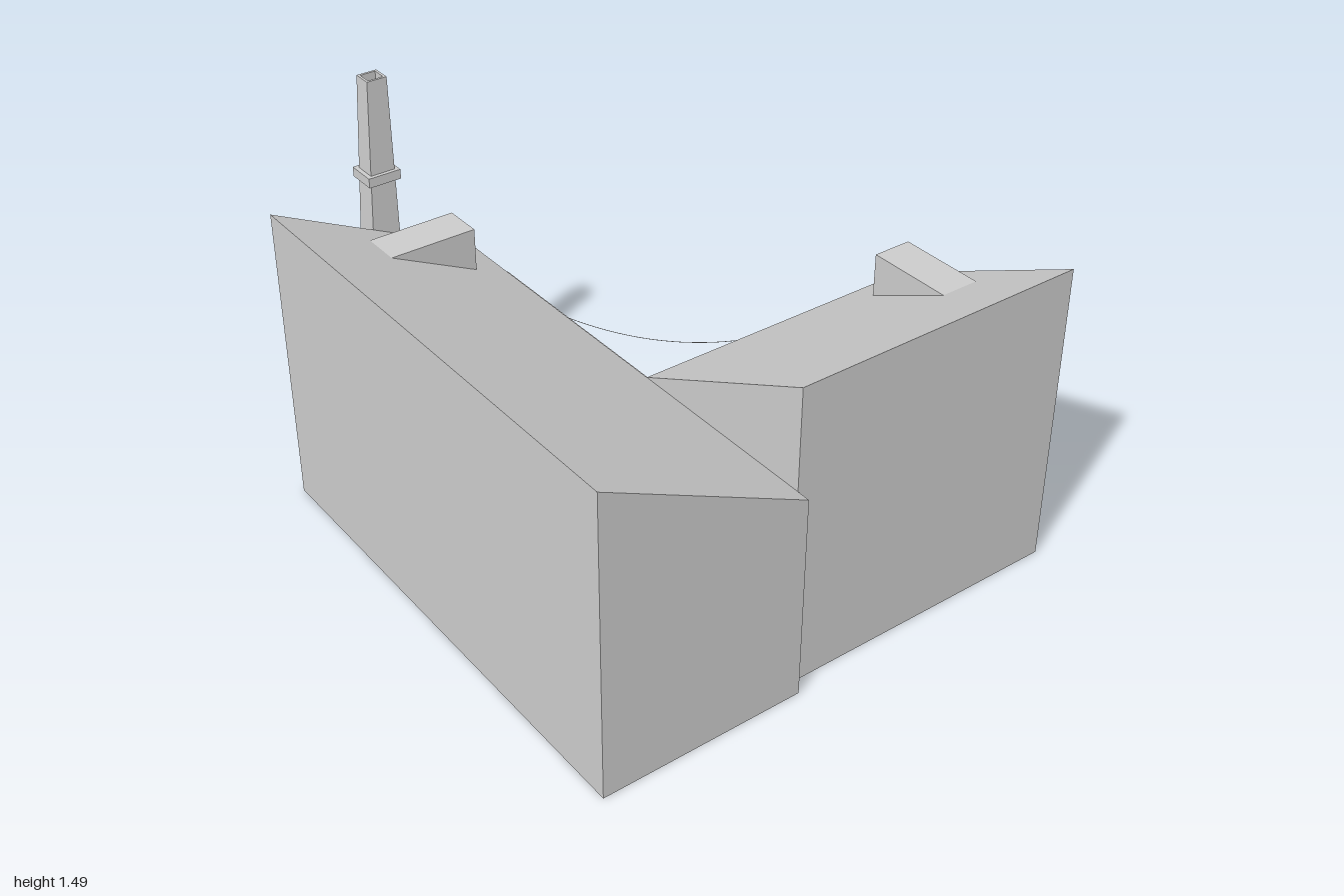
import * as THREE from 'three';

const material = new THREE.MeshStandardMaterial({ color: 0xcccccc, flatShading: true, side: THREE.DoubleSide });
const EAVE = 0.76, RIDGE = 1.13, ROOF = 0.008;

function add(parent, name, geometry) {
  const mesh = new THREE.Mesh(geometry, material);
  mesh.name = name;
  parent.add(mesh);
  return mesh;
}

// Box given by its minimum and maximum corners
function box(parent, name, x0, x1, y0, y1, z0, z1) {
  const mesh = add(parent, name, new THREE.BoxGeometry(x1 - x0, y1 - y0, z1 - z0));
  mesh.position.set((x0 + x1) / 2, (y0 + y1) / 2, (z0 + z1) / 2);
  return mesh;
}

function prism(points, depth) {
  const shape = new THREE.Shape(points.map(([x, y]) => new THREE.Vector2(x, y)));
  return new THREE.ExtrudeGeometry(shape, { depth, bevelEnabled: false });
}

// Remove the ground face so that the shell is open below
function openBottom(geometry) {
  const p = geometry.getAttribute('position'), kept = [];
  for (let i = 0; i < p.count; i += 3) {
    if (Math.max(p.getY(i), p.getY(i + 1), p.getY(i + 2)) < 1e-5) continue;
    for (let j = i; j < i + 3; j++) kept.push(p.getX(j), p.getY(j), p.getZ(j));
  }
  const out = new THREE.BufferGeometry();
  out.setAttribute('position', new THREE.Float32BufferAttribute(kept, 3));
  out.computeVertexNormals();
  return out;
}

// Lean-to wing: profile from eave a to ridge b, swept along its length, with a dormer
function wing(name, a, b, length, dormerStart) {
  const group = new THREE.Group();
  group.name = name;
  const dir = Math.sign(b - a);
  add(group, 'walls', openBottom(prism([[a, 0], [a, EAVE - ROOF], [b, RIDGE - ROOF], [b, 0]], length)));
  add(group, 'roof', prism([[a, EAVE - ROOF], [a, EAVE], [b, RIDGE], [b, RIDGE - ROOF]], length));
  const front = a + dir * 0.135, slope = (RIDGE - EAVE) / Math.abs(b - a);
  const back = a + dir * (0.985 - EAVE) / slope;
  const dormer = prism([[front, EAVE + 0.135 * slope], [front, 0.985], [back, 0.985]], 0.145);
  add(group, 'dormer', dormer).position.z = dormerStart;
  return group;
}

// Framed window with glazing bars, on a wall whose outside is +z
function windowUnit(parent, u, y, wide, high, w = 0) {
  const g = new THREE.Group();
  g.name = 'window';
  g.position.set(u, y, w);
  const t = 0.009, h = wide / 2;
  box(g, 'pane', -h, h, 0, high, 0, 0.002);
  for (const s of [-1, 1]) box(g, 'frameSide', s * (h - t / 2) - t / 2, s * (h - t / 2) + t / 2, 0, high, 0, 0.009);
  box(g, 'sill', -h, h, 0, t, 0, 0.009);
  box(g, 'lintel', -h, h, high - t, high, 0, 0.009);
  box(g, 'mullion', -0.003, 0.003, t, high - t, 0, 0.006);
  for (const k of [1, 2]) box(g, 'glazingBar', -h + t, h - t, high * k / 3 - 0.002, high * k / 3 + 0.002, 0, 0.005);
  parent.add(g);
}

function door(parent, u) {
  const g = new THREE.Group();
  g.name = 'door';
  g.position.x = u;
  box(g, 'leaf', -0.037, 0.037, 0, 0.192, 0, 0.004);
  for (const s of [-1, 1]) box(g, 'doorPost', s * 0.041 - 0.004, s * 0.041 + 0.004, 0, 0.2, 0, 0.008);
  box(g, 'doorHead', -0.045, 0.045, 0.192, 0.2, 0, 0.008);
  add(g, 'knob', new THREE.SphereGeometry(0.005, 8, 6)).position.set(0.029, 0.085, 0.007);
  parent.add(g);
}

// Rail with evenly spaced balusters between two points on a deck
function railing(parent, x0, z0, x1, z1, deckTop, railTop, bays) {
  const r = 0.003;
  for (let i = 0; i <= bays; i++) {
    const x = x0 + (x1 - x0) * i / bays, z = z0 + (z1 - z0) * i / bays;
    box(parent, 'baluster', x - r, x + r, deckTop, railTop - 0.008, z - r, z + r);
  }
  box(parent, 'handrail', Math.min(x0, x1) - 0.004, Math.max(x0, x1) + 0.004, railTop - 0.009, railTop,
    Math.min(z0, z1) - 0.004, Math.max(z0, z1) + 0.004);
}

// Hollow tapering stack built from rectangular rings [y, x0, x1, z0, z1]
function loftRings(rings) {
  const pos = [], idx = [];
  for (const [y, x0, x1, z0, z1] of rings) pos.push(x0, y, z1, x1, y, z1, x1, y, z0, x0, y, z0);
  for (let i = 0; i + 1 < rings.length; i++) {
    for (let j = 0; j < 4; j++) {
      const a = i * 4 + j, b = i * 4 + (j + 1) % 4;
      idx.push(a, b, b + 4, a, b + 4, a + 4);
    }
  }
  const g = new THREE.BufferGeometry();
  g.setAttribute('position', new THREE.Float32BufferAttribute(pos, 3));
  g.setIndex(idx);
  const flat = g.toNonIndexed();
  flat.computeVertexNormals();
  return flat;
}

function chimney() {
  const g = new THREE.Group();
  g.name = 'chimney';
  const low = [0.1, -0.6, -0.455, -0.978, -0.858], top = [1.49, -0.532, -0.458, -0.937, -0.868];
  const inset = ([y, x0, x1, z0, z1], t) => [y, x0 + t, x1 - t, z0 + t, z1 - t];
  const base = [0, -0.62, -0.443, -1, -0.857];
  const baseTop = [0.1, ...base.slice(1)];
  add(g, 'stack', loftRings([inset(base, 0.03), base, baseTop, low, top, inset(top, 0.009), inset(low, 0.012), inset(base, 0.03)]));
  // Projecting bands follow the taper
  for (const [y0, y1] of [[0.375, 0.405], [0.745, 0.775], [1.113, 1.148]]) {
    const k = (y0 - 0.1) / 1.39;
    const [, x0, x1, z0, z1] = low.map((v, i) => v + (top[i] - v) * k);
    const e = 0.014;
    box(g, 'band', x0 - e, x1 + e, y0, y1, z0 - e, z1 + e);
  }
  return g;
}

// Line sagging between two railings
function clothesline(parent, z, x, y, sag) {
  const a = new THREE.Vector3(-0.037, y, z), b = new THREE.Vector3(x, y, 0.053);
  const mid = a.clone().lerp(b, 0.5);
  mid.y -= sag * 2;
  add(parent, 'clothesline', new THREE.TubeGeometry(new THREE.QuadraticBezierCurve3(a, mid, b), 24, 0.0012, 5));
}

export function createModel() {
  const model = new THREE.Group();

  // Two wings in an L, each sloping down to the courtyard
  const rightWing = wing('rightWing', -0.18, -0.93, 1.86, 0.115);
  rightWing.position.z = -0.86;
  const leftWing = wing('leftWing', 0.2, 0.95, 1.105, 0.117);
  leftWing.rotation.y = -Math.PI / 2;
  leftWing.position.x = 0.925;
  model.add(rightWing, leftWing);

  // Courtyard facades: local x runs along the wall, local z points outward
  const rightFacade = new THREE.Group();
  rightFacade.name = 'rightFacade';
  rightFacade.position.x = -0.18;
  rightFacade.rotation.y = Math.PI / 2;
  const leftFacade = new THREE.Group();
  leftFacade.name = 'leftFacade';
  leftFacade.position.z = 0.2;
  leftFacade.rotation.y = Math.PI;
  model.add(rightFacade, leftFacade);

  const facades = [
    { g: rightFacade, upper: [0, 0.22, 0.44, 0.66], ground: [0.12, 0.56], door: 0.332, dormer: 0.673,
      deck: [-0.2, 0.858], inner: -0.053, end: 0.854, bays: 13 },
    { g: leftFacade, upper: [-0.76, -0.525, -0.29, -0.06], ground: [-0.62, -0.17], door: 0.085, dormer: -0.735,
      deck: [-0.92, 0.035], inner: 0.037, end: -0.916, bays: 14 },
  ];
  const edge = 0.143;
  for (const f of facades) {
    for (const u of f.ground) windowUnit(f.g, u, 0.075, 0.07, 0.115);
    for (const y of [0.37, 0.585]) for (const u of f.upper) windowUnit(f.g, u, y, 0.07, 0.115);
    windowUnit(f.g, f.dormer, 0.837, 0.09, 0.123, -0.135);
    door(f.g, f.door);
    // Balconies on two floors
    for (const [under, top, rail] of [[0.28, 0.297, 0.372], [0.504, 0.52, 0.596]]) {
      box(f.g, 'balconyDeck', f.deck[0], f.deck[1], under, top, 0, 0.148);
      railing(f.g, f.inner, edge, f.end, edge, top, rail, f.bays);
      railing(f.g, f.end, 0.006, f.end, edge, top, rail, 2);
    }
    box(f.g, 'balconyPost', f.end - 0.004, f.end + 0.004, 0, 0.596, edge - 0.004, edge + 0.004);
  }
  box(model, 'cornerPost', -0.041, -0.033, 0, 0.596, 0.053, 0.061);

  model.add(chimney());
  clothesline(model, -0.48, 0.495, 0.593, 0.068);
  clothesline(model, -0.325, 0.335, 0.37, 0.07);
  return model;
}
